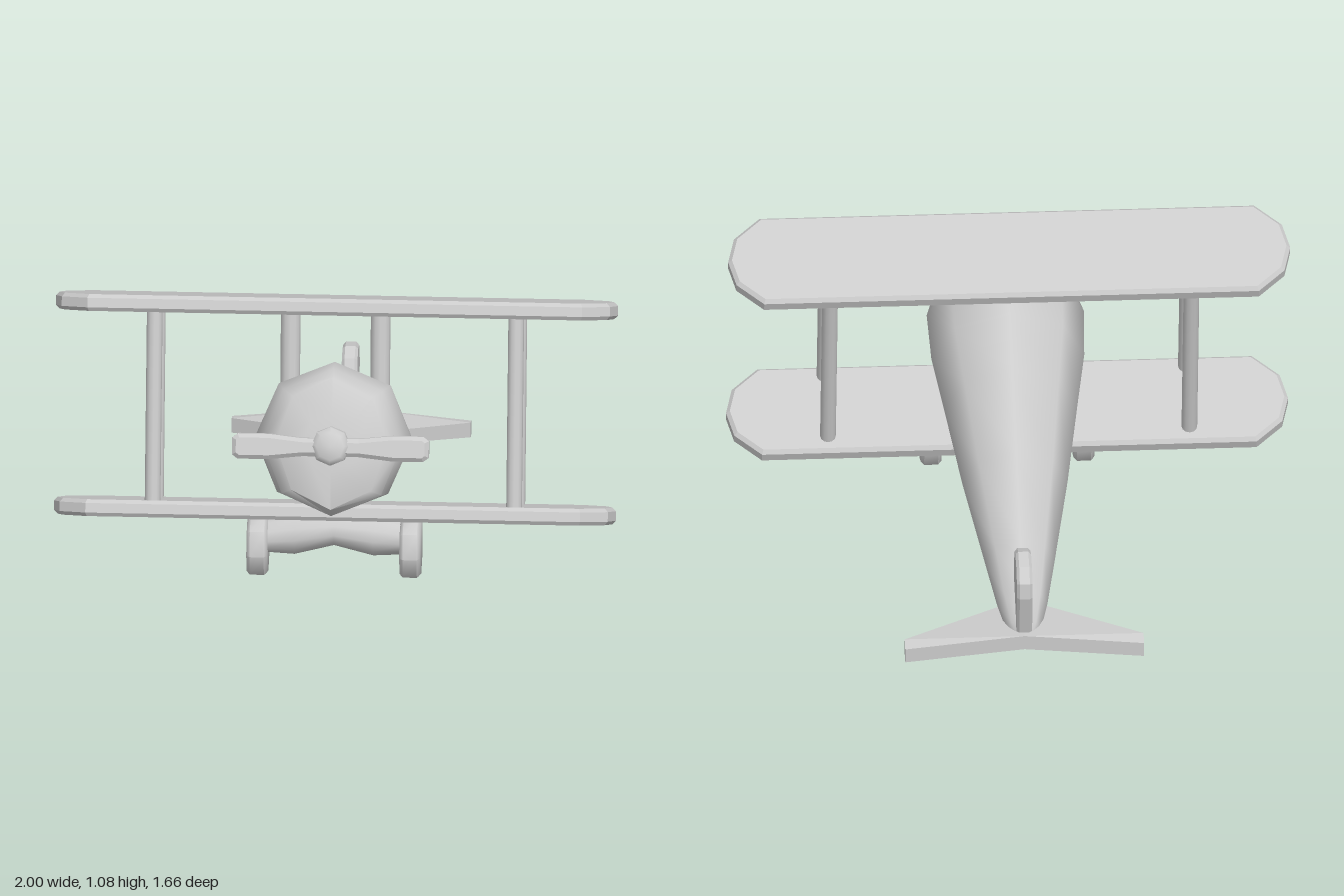
import * as THREE from 'three';
import { toCreasedNormals } from 'three/addons/utils/BufferGeometryUtils.js';
import { ConvexGeometry } from 'three/addons/geometries/ConvexGeometry.js';

const material = new THREE.MeshStandardMaterial({ color: 0xcccccc });
const PITCH = THREE.MathUtils.degToRad(22);

function addMesh(parent, name, geometry) {
  const mesh = new THREE.Mesh(geometry, material);
  mesh.name = name;
  parent.add(mesh);
  return mesh;
}

// Closed body from elliptical rings [z, centreY, radiusX, radiusY], ordered front to back
function loft(rings, sides) {
  const pos = [], index = [];
  rings.forEach(([z, cy, rx, ry], i) => {
    for (let j = 0; j < sides; j++) {
      const a = (j / sides) * Math.PI * 2;
      pos.push(Math.sin(a) * rx, cy + Math.cos(a) * ry, z);
      if (i === rings.length - 1) continue;
      const k = (j + 1) % sides, p = i * sides, q = p + sides;
      index.push(p + j, p + k, q + j, p + k, q + k, q + j);
    }
  });
  const g = new THREE.BufferGeometry();
  g.setAttribute('position', new THREE.Float32BufferAttribute(pos, 3));
  g.setIndex(index);
  return toCreasedNormals(g, 0.9);
}

// Plate of a given thickness with a small bevel, centred on its own plane
function plate(points, thickness, bevel) {
  const shape = new THREE.Shape(points.map(([x, y]) => new THREE.Vector2(x, y)));
  const g = new THREE.ExtrudeGeometry(shape, {
    depth: thickness - 2 * bevel, bevelThickness: bevel, bevelSize: bevel,
    bevelOffset: -bevel, bevelSegments: 1,
  });
  return g.translate(0, 0, bevel - thickness / 2);
}

// Round bar between two points
function bar(parent, name, from, to, radius) {
  const a = new THREE.Vector3(...from), b = new THREE.Vector3(...to);
  const dir = b.clone().sub(a);
  const mesh = addMesh(parent, name, new THREE.CylinderGeometry(radius, radius, dir.length(), 12));
  mesh.position.copy(a).add(b).multiplyScalar(0.5);
  mesh.quaternion.setFromUnitVectors(new THREE.Vector3(0, 1, 0), dir.normalize());
}

export function createModel() {
  const plane = new THREE.Group();
  plane.name = 'biplane';

  // Parts aligned with the nose-up fuselage axis
  const body = new THREE.Group();
  body.name = 'pitchedBody';
  body.rotation.x = -PITCH;
  plane.add(body);

  // Fuselage: eight-sided, blunt nose, tapering to the tail
  addMesh(body, 'fuselage', loft([
    [0.915, 0.34, 0, 0], [0.915, 0.34, 0.1, 0.1], [0.89, 0.335, 0.2, 0.235],
    [0.84, 0.338, 0.25, 0.262], [0.74, 0.348, 0.28, 0.273], [0.55, 0.345, 0.272, 0.265],
    [0.33, 0.34, 0.237, 0.235], [0, 0.342, 0.187, 0.188], [-0.35, 0.355, 0.125, 0.12],
    [-0.54, 0.355, 0.09, 0.085], [-0.65, 0.355, 0.062, 0.062], [-0.69, 0.352, 0.04, 0.04],
    [-0.705, 0.35, 0, 0],
  ], 8));

  // Wings with faceted round tips
  const outline = [[0.88, -0.187], [0.975, -0.1], [1, 0], [0.975, 0.1], [0.88, 0.187]];
  const wingOutline = [...outline, ...outline.map(([x, y]) => [-x, -y])];
  for (const [name, y, z] of [['upperWing', 0.818, 0.644], ['lowerWing', 0.083, 0.514]]) {
    const wing = addMesh(body, name, plate(wingOutline, 0.06, 0.013).rotateX(-Math.PI / 2));
    wing.position.set(0, y, z);
  }

  // Propeller: hub and two blades that widen outwards
  const propeller = new THREE.Group();
  propeller.name = 'propeller';
  propeller.position.set(0, 0.33, 0.958);
  body.add(propeller);
  const hub = loft([
    [0.05, 0, 0, 0], [0.05, 0, 0.05, 0.05], [0.032, 0, 0.069, 0.069],
    [-0.06, 0, 0.069, 0.069], [-0.06, 0, 0, 0],
  ], 8);
  addMesh(propeller, 'propellerHub', hub);
  for (const s of [-1, 1]) {
    const blade = plate([[0, -0.032], [0.1, -0.032], [0.22, -0.045], [0.33, -0.045],
      [0.35, -0.03], [0.35, 0.03], [0.33, 0.045], [0.22, 0.045], [0.1, 0.032], [0, 0.032]], 0.075, 0.014);
    const mesh = addMesh(propeller, 'propellerBlade', blade);
    mesh.position.y = -0.005;
    mesh.rotation.z = s < 0 ? Math.PI : 0;
  }

  // Wing struts, cabane struts and wheels, mirrored
  for (const s of [-1, 1]) {
    bar(plane, 'frontStrut', [s * 0.643, 1.05, 0.395], [s * 0.643, 0.32, 0.575], 0.028);
    bar(plane, 'rearStrut', [s * 0.643, 0.96, 0.165], [s * 0.643, 0.22, 0.33], 0.028);
    bar(plane, 'cabaneStrut', [s * 0.16, 1.05, 0.38], [s * 0.16, 0.72, 0.44], 0.035);

    const wheel = addMesh(plane, 'wheel', loft([
      [0.037, 0, 0, 0], [0.037, 0, 0.104, 0.104], [0.025, 0, 0.118, 0.118],
      [-0.025, 0, 0.118, 0.118], [-0.037, 0, 0.104, 0.104], [-0.037, 0, 0, 0],
    ], 8).rotateY(Math.PI / 2));
    wheel.position.set(s * 0.272, 0.152, 0.485);

    // Tailplane half, drooping slightly to the tip
    const corners = [];
    for (const [x, z, low, high] of [[0, -0.59, 0.055, 0.105], [0.07, -0.6, 0.052, 0.102],
      [0.425, -0.765, 0.018, 0.075], [0.425, -0.812, 0.008, 0.062], [0, -0.812, 0.05, 0.105]]) {
      corners.push(new THREE.Vector3(s * x, low, z), new THREE.Vector3(s * x, high, z));
    }
    addMesh(plane, 'tailplane', new ConvexGeometry(corners));
  }

  // Axle fairing, pinched in the middle
  const axle = addMesh(plane, 'axleFairing', loft([
    [0.25, 0.188, 0, 0], [0.25, 0.188, 0.075, 0.062], [0.14, 0.2, 0.088, 0.08],
    [0, 0.22, 0.08, 0.062],
    [-0.14, 0.2, 0.088, 0.08], [-0.25, 0.188, 0.075, 0.062], [-0.25, 0.188, 0, 0],
  ], 12).rotateY(Math.PI / 2));
  axle.position.z = 0.475;

  // Upright tail fin, outlined in z and y
  addMesh(plane, 'tailFin', plate([[-0.78, 0.08], [-0.585, 0.09], [-0.585, 0.16], [-0.61, 0.31],
    [-0.645, 0.37], [-0.705, 0.392], [-0.78, 0.375], [-0.825, 0.33], [-0.83, 0.27]].reverse(),
  0.056, 0.01).rotateY(-Math.PI / 2));

  return plane;
}
